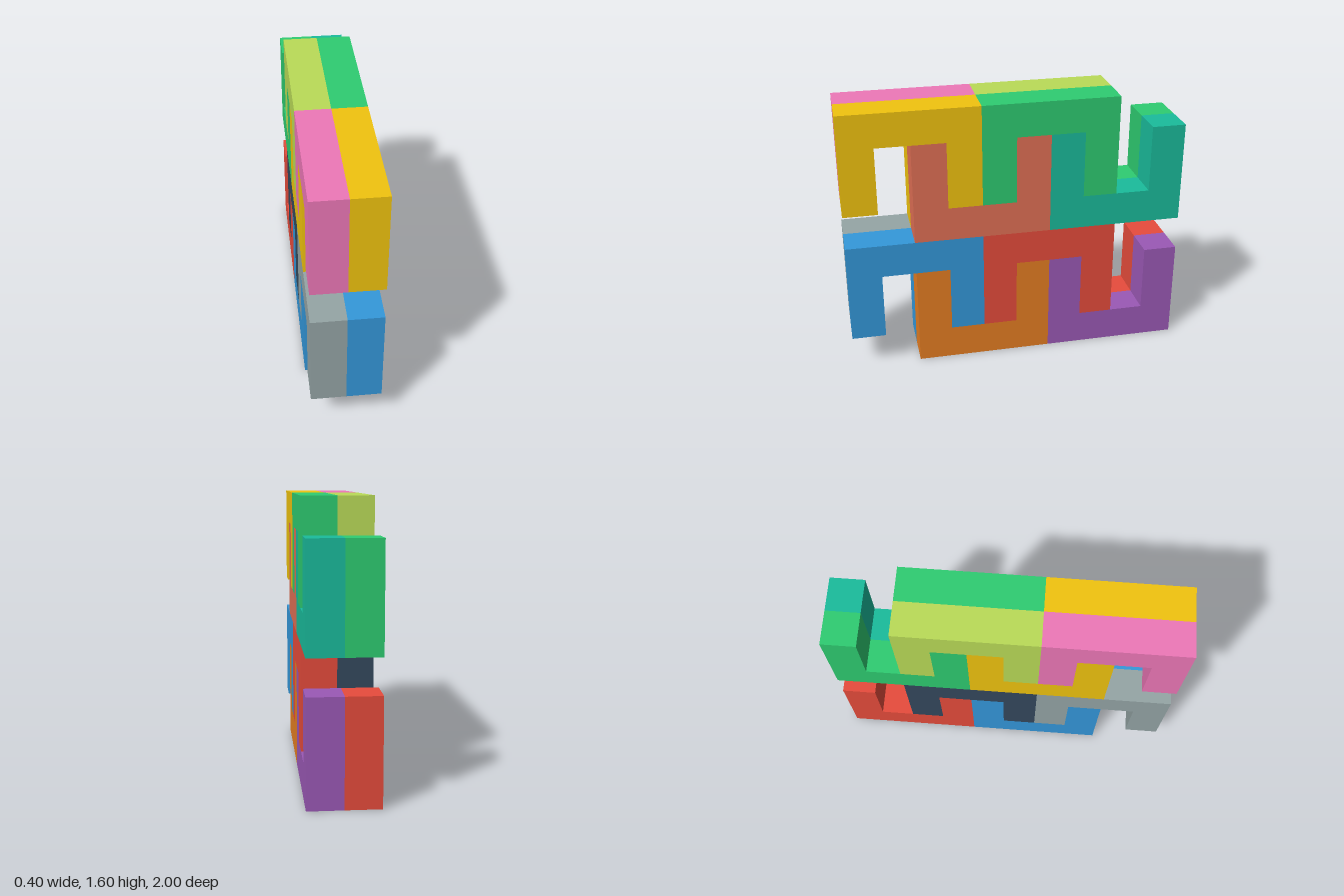
import * as THREE from 'three';

const CELL = 0.2;

// U-shaped block, four cells long and three high; opens up, or down for an arch
function blockGeometry(opensDown) {
  const outline = [[0, 0], [4, 0], [4, 3], [3, 3], [3, 1], [1, 1], [1, 3], [0, 3]];
  const points = outline.map(([u, v]) =>
    new THREE.Vector2(u * CELL, (opensDown ? 3 - v : v) * CELL));
  const geometry = new THREE.ExtrudeGeometry(new THREE.Shape(points), { depth: CELL, bevelEnabled: false });
  geometry.rotateY(Math.PI / 2); // length runs toward -z, thickness toward +x
  return geometry;
}

export function createModel() {
  const model = new THREE.Group();
  model.name = 'interlockingBlocks';
  const arch = blockGeometry(true);
  const cup = blockGeometry(false);

  // Each layer lists its tiers from the bottom; colours run front to back
  const layers = [
    { name: 'left', x: 0, tiers: [
      { arches: [0x3498db, 0xe74c3c], cups: [0xe67e22, 0x9b59b6] },
      { arches: [0xf1c40f, 0x2ecc71], cups: [0xe17055, 0x1abc9c] },
    ] },
    { name: 'right', x: -CELL, tiers: [
      { arches: [0x95a5a6, 0x34495e], cups: [0x3498db, 0xe74c3c] },
      { arches: [0xee78b8, 0xbadc58], cups: [0xf1c40f, 0x2ecc71] },
    ] },
  ];

  for (const layer of layers) {
    const group = new THREE.Group();
    group.name = `${layer.name}Layer`;
    group.position.x = layer.x;
    model.add(group);

    const addBlock = (name, geometry, color, y, z) => {
      const mesh = new THREE.Mesh(geometry, new THREE.MeshStandardMaterial({ color, flatShading: true }));
      mesh.name = name;
      mesh.position.set(0, y, z);
      group.add(mesh);
    };

    layer.tiers.forEach(({ arches, cups }, tier) => {
      const y = tier * 4 * CELL;
      const level = tier ? 'upper' : 'lower';
      for (let i = 0; i < 2; i++) {
        const end = i ? 'Back' : 'Front';
        // Arches hang over the arms of the cups below, two cells further forward
        addBlock(`${level}${end}Arch`, arch, arches[i], y + CELL, 1 - i * 4 * CELL);
        addBlock(`${level}${end}Cup`, cup, cups[i], y, 0.6 - i * 4 * CELL);
      }
    });
  }
  return model;
}
